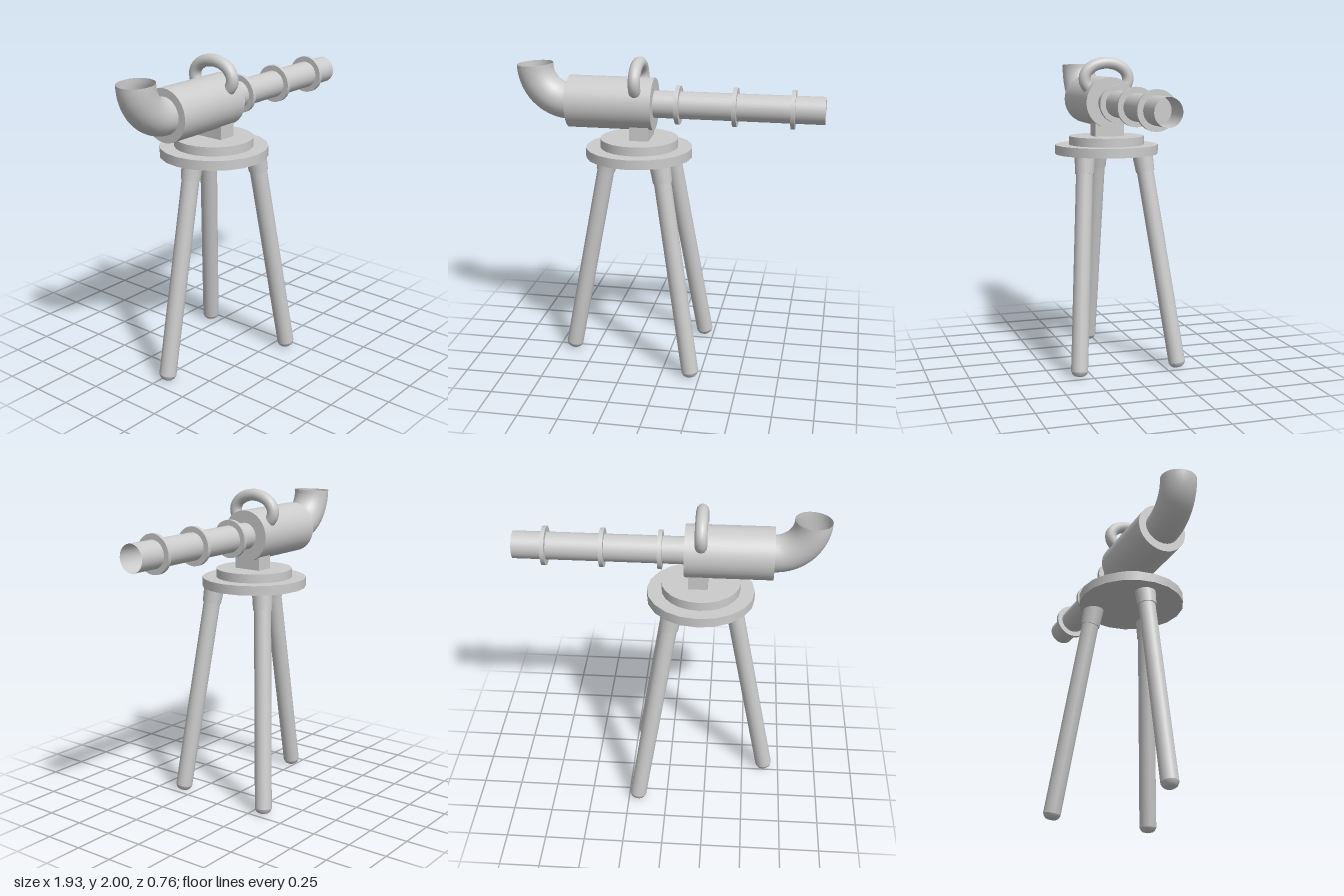
import * as THREE from 'three';

const Z = 0.033; // centre plane of barrel and mount
const AXIS_Y = 1.71; // height of the barrel axis
const MOUNT_X = -0.19;

export function createModel() {
  const model = new THREE.Group();
  const solid = new THREE.MeshStandardMaterial({ color: 0xcccccc });
  const open = new THREE.MeshStandardMaterial({ color: 0xcccccc, side: THREE.DoubleSide });

  const add = (name, geometry, x, y, z, material = solid) => {
    const mesh = new THREE.Mesh(geometry, material);
    mesh.name = name;
    mesh.position.set(x, y, z);
    model.add(mesh);
    return mesh;
  };

  // Cylinder lying along x between two ends
  const tubeX = (name, x0, x1, r, isOpen) => {
    const g = new THREE.CylinderGeometry(r, r, x1 - x0, 32, 1, isOpen).rotateZ(-Math.PI / 2);
    return add(name, g, (x0 + x1) / 2, AXIS_Y, Z, isOpen ? open : solid);
  };

  // Main body, barrel and barrel rings
  tubeX('body', -0.63, -0.09, 0.163, false);
  tubeX('barrel', -0.1, 0.965, 0.085, true);
  for (const x of [0.06, 0.415, 0.77]) tubeX('barrelRing', x - 0.013, x + 0.013, 0.12, false);

  // Open elbow turning upward at the back of the body
  const bend = new THREE.CatmullRomCurve3(
    Array.from({ length: 13 }, (_, i) => {
      const a = (i / 12) * Math.PI / 2;
      return new THREE.Vector3(-0.63 - 0.222 * Math.sin(a), 1.94 - 0.23 * Math.cos(a), Z);
    })
  );
  add('elbow', new THREE.TubeGeometry(bend, 16, 0.114, 28), 0, 0, 0, open);

  // Oval carrying handle sunk into the top of the body
  const oval = new THREE.CatmullRomCurve3(
    Array.from({ length: 24 }, (_, i) => {
      const a = (i / 24) * Math.PI * 2;
      return new THREE.Vector3(0, 0.102 * Math.sin(a), 0.147 * Math.cos(a));
    }),
    true
  );
  add('handle', new THREE.TubeGeometry(oval, 40, 0.038, 14, true), MOUNT_X, 1.86, Z);

  // Mounting block and stepped plate
  add('mountBlock', new THREE.BoxGeometry(0.12, 0.1, 0.19), -0.175, 1.53, Z);
  add('upperPlate', new THREE.CylinderGeometry(0.245, 0.245, 0.06, 24), MOUNT_X, 1.462, Z);
  add('lowerPlate', new THREE.CylinderGeometry(0.336, 0.336, 0.06, 20), MOUNT_X, 1.406, Z);

  // Splayed legs with tapered collars and rounded feet
  const up = new THREE.Vector3(0, 1, 0);
  const legs = [
    [[-0.655, 0.003, 0.034], [-0.387, 1.385, 0.034]],
    [[0.195, 0.003, 0.333], [-0.022, 1.385, 0.227]],
    [[0.195, 0.003, -0.331], [-0.022, 1.385, -0.157]],
  ];
  for (const [foot, top] of legs) {
    const from = new THREE.Vector3(...foot);
    const dir = new THREE.Vector3(...top).sub(from);
    const length = dir.length();
    dir.normalize();
    const leg = new THREE.Group();
    leg.name = 'leg';
    leg.position.copy(from);
    leg.quaternion.setFromUnitVectors(up, dir);

    const profile = [[0, 0], [0.032, 0.006], [0.045, 0.016], [0.054, 0.035], [0.054, 0.037], [0.054, length]];
    const shaft = new THREE.Mesh(
      new THREE.LatheGeometry(profile.map(([r, y]) => new THREE.Vector2(r, y)), 18), solid);
    shaft.name = 'legShaft';
    const collar = new THREE.Mesh(new THREE.CylinderGeometry(0.067, 0.06, 0.125, 18), solid);
    collar.name = 'legCollar';
    collar.position.y = length - 0.056;
    leg.add(shaft, collar);
    model.add(leg);
  }

  return model;
}
